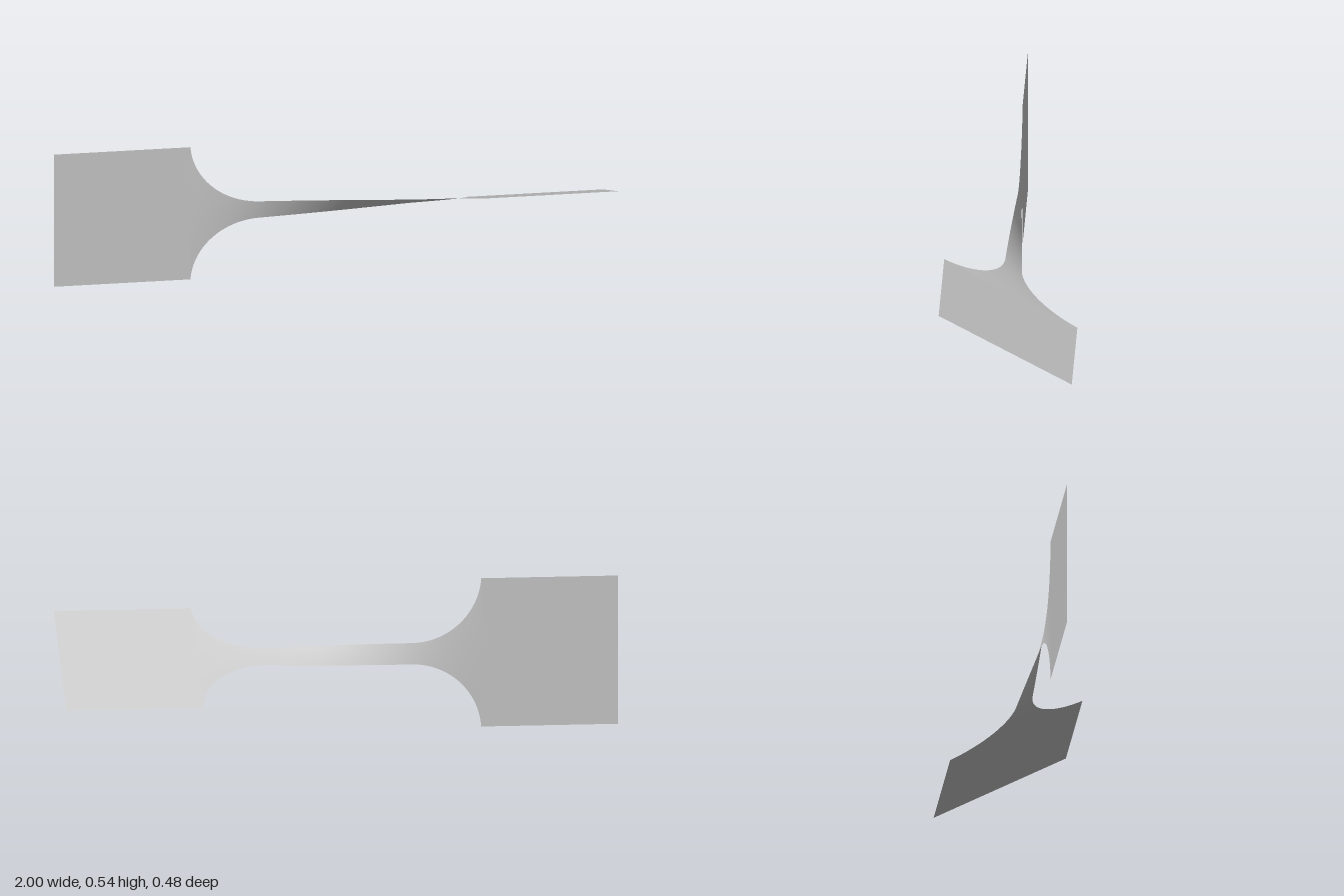
import * as THREE from 'three';

const HALF = 0.271;      // half height of the grip plates
const NECK = 0.038;      // half height of the narrow neck
const RADIUS = 0.25;     // fillet radius
const ARC_X = 0.26;      // where the fillets begin
const PLATE_X = ARC_X + Math.sqrt(RADIUS ** 2 - (RADIUS - (HALF - NECK)) ** 2);
const TWIST = THREE.MathUtils.degToRad(61.3);

// Half height of the strip at x
function halfHeight(x) {
  const u = Math.abs(x) - ARC_X;
  if (u <= 0) return NECK;
  if (u >= PLATE_X - ARC_X) return HALF;
  return NECK + RADIUS - Math.sqrt(RADIUS ** 2 - u * u);
}

// Rows along the strip: plates, fillets stepped by angle, neck
function stations() {
  const right = [];
  for (let i = 1; i <= 20; i++) right.push(ARC_X * i / 20);
  const end = Math.asin((PLATE_X - ARC_X) / RADIUS);
  for (let i = 1; i <= 32; i++) right.push(ARC_X + RADIUS * Math.sin(end * i / 32));
  for (let i = 1; i <= 6; i++) right.push(PLATE_X + (1 - PLATE_X) * i / 6);
  return [...right.map(x => -x).reverse(), 0, ...right];
}

// Twist angles: the narrower the strip, the faster it turns
function twistAngles(xs) {
  const sums = [0];
  for (let i = 1; i < xs.length; i++) {
    const mid = (xs[i] + xs[i - 1]) / 2;
    const rate = Math.abs(mid) > PLATE_X ? 0 : 1 / halfHeight(mid);
    sums.push(sums[i - 1] + rate * (xs[i] - xs[i - 1]));
  }
  const total = sums[sums.length - 1];
  return sums.map(s => TWIST * s / total);
}

export function createModel() {
  const steel = new THREE.MeshStandardMaterial({ color: 0xcccccc, side: THREE.DoubleSide });
  steel.name = 'steel grey';

  const xs = stations();
  const angles = twistAngles(xs);
  const cols = 8;

  // A flat grid whose rows are widened and turned about the x axis
  const geometry = new THREE.PlaneGeometry(2, 2, xs.length - 1, cols);
  const pos = geometry.attributes.position;
  for (let j = 0; j <= cols; j++) {
    for (let i = 0; i < xs.length; i++) {
      const r = (1 - 2 * j / cols) * halfHeight(xs[i]);
      pos.setXYZ(j * xs.length + i, xs[i],
        HALF + r * Math.cos(angles[i]), r * Math.sin(angles[i]));
    }
  }
  geometry.computeVertexNormals();

  const strip = new THREE.Mesh(geometry, steel);
  strip.name = 'twistedStrip';
  const model = new THREE.Group();
  model.name = 'twistedTestStrip';
  model.add(strip);
  return model;
}
